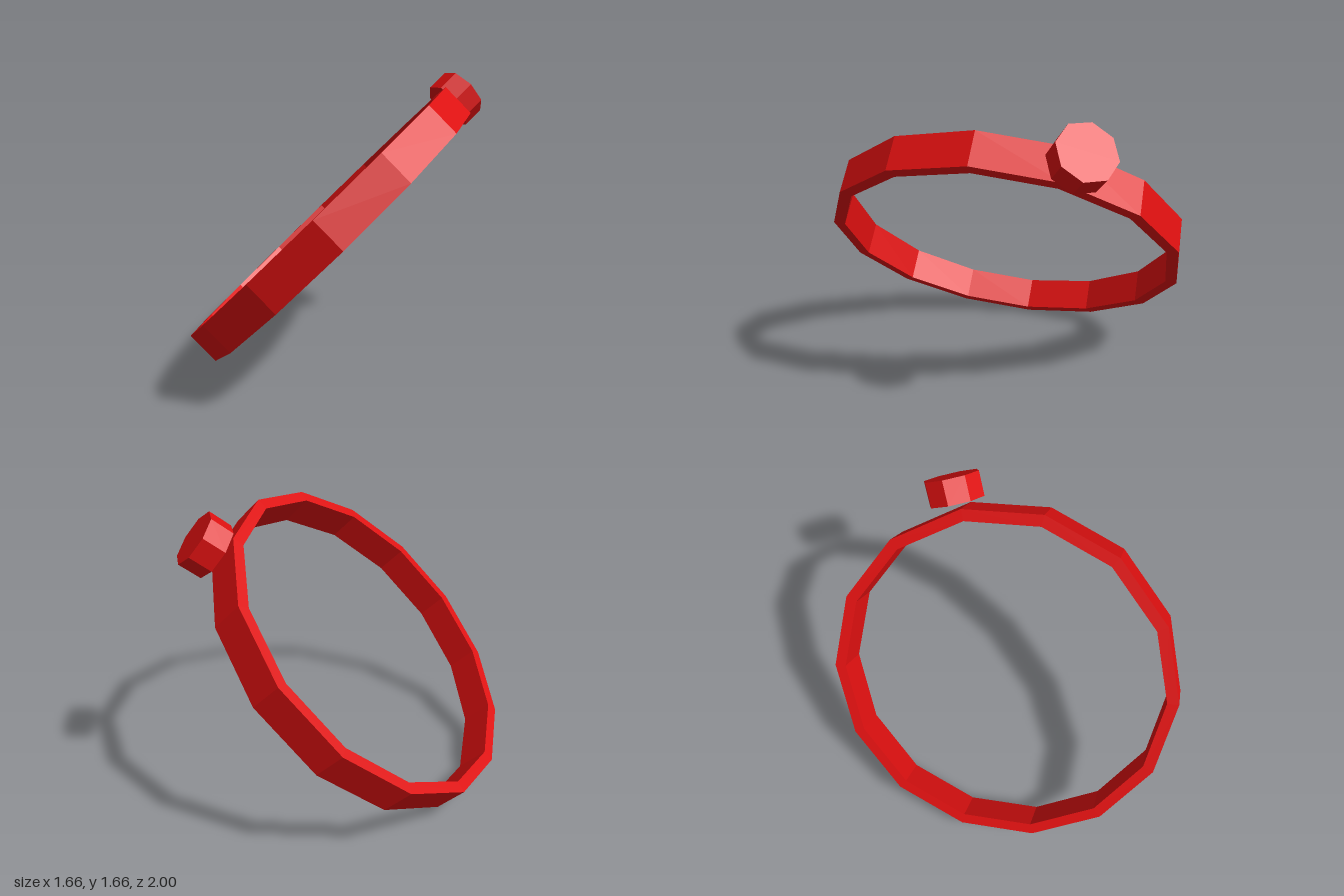
import * as THREE from 'three';

// Give every face its own normal for crisp facets
function faceted(geometry) {
  const flat = geometry.toNonIndexed();
  flat.computeVertexNormals();
  return flat;
}

export function createModel() {
  const red = new THREE.MeshStandardMaterial({ color: 0xdd1010 });
  red.name = 'red';

  const model = new THREE.Group();
  model.name = 'ring';

  // Band: rectangular section swept round 14 sides
  const outer = 1.026, inner = 0.96, half = 0.1;
  const section = [
    [inner, -half], [outer, -half], [outer, half], [inner, half], [inner, -half],
  ].map(([x, y]) => new THREE.Vector2(x, y));
  const band = new THREE.Mesh(
    faceted(new THREE.LatheGeometry(section, 14, Math.PI / 2)), red);
  band.name = 'band';

  // Stone: short octagonal drum facing outward from the band
  const stoneGeometry = new THREE.CylinderGeometry(0.16, 0.16, 0.137, 8);
  stoneGeometry.rotateZ(-Math.PI / 2);
  stoneGeometry.rotateY(THREE.MathUtils.degToRad(26.5));
  const stone = new THREE.Mesh(faceted(stoneGeometry), red);
  stone.name = 'stone';
  stone.position.set(0.995, 0, -0.53);

  // The whole ring leans at 45 degrees
  const tilted = new THREE.Group();
  tilted.name = 'tiltedRing';
  tilted.rotation.z = Math.PI / 4;
  tilted.position.set(-0.035, 0.796, 0);
  tilted.add(band, stone);
  model.add(tilted);
  return model;
}
